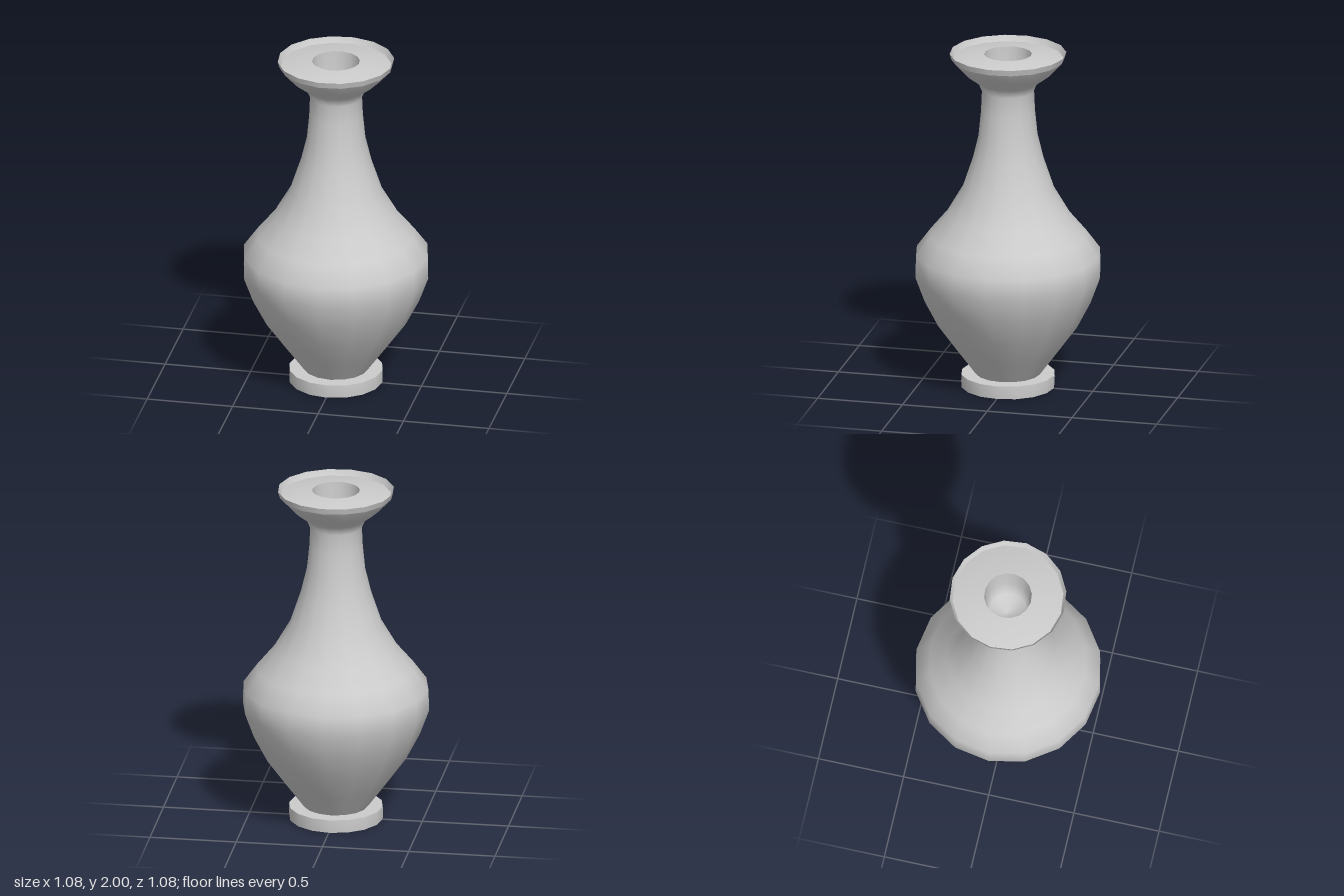
import * as THREE from 'three';

const SIDES = 16;

// Slight turn of the rings between the belly and the rim
function twist(geometry) {
  const p = geometry.attributes.position;
  const v = new THREE.Vector3();
  const up = new THREE.Vector3(0, 1, 0);
  for (let i = 0; i < p.count; i++) {
    v.fromBufferAttribute(p, i);
    const t = THREE.MathUtils.clamp((v.y - 0.8) / 1.2, 0, 1);
    v.applyAxisAngle(up, THREE.MathUtils.degToRad(1 - 6.7 * t));
    p.setXYZ(i, v.x, v.y, v.z);
  }
  return geometry;
}

export function createModel() {
  const group = new THREE.Group();
  const material = new THREE.MeshStandardMaterial({ color: 0xcccccc, side: THREE.DoubleSide });

  // Turned part from [radius, height] pairs; separate parts keep edges sharp
  const turn = (name, profile) => {
    const points = profile.map(([r, y]) => new THREE.Vector2(r, y));
    const mesh = new THREE.Mesh(twist(new THREE.LatheGeometry(points, SIDES)), material);
    mesh.name = name;
    group.add(mesh);
  };

  // Foot: underside, wall and upper ledge
  turn('footUnderside', [[0, 0], [0.27, 0]]);
  turn('footWall', [[0.27, 0], [0.272, 0.04], [0.27, 0.076]]);
  turn('footLedge', [[0.27, 0.076], [0.17, 0.076]]);

  // Belly, shoulder, neck and flared cup
  turn('body', [
    [0.182, 0.07], [0.29, 0.216], [0.405, 0.375], [0.485, 0.53],
    [0.538, 0.675], [0.535, 0.8], [0.455, 0.91], [0.355, 1.03],
    [0.265, 1.185], [0.205, 1.365], [0.17, 1.51], [0.155, 1.66],
    [0.15, 1.775], [0.172, 1.825], [0.25, 1.885], [0.31, 1.95], [0.335, 2],
  ]);

  // Lip and the gently raised top around the mouth
  turn('lipInside', [[0.335, 2], [0.325, 1.965]]);
  turn('mouthTop', [[0.325, 1.965], [0.23, 1.985], [0.137, 1.995]]);

  // Hollow inside the neck
  turn('neckHollow', [[0.137, 1.995], [0.13, 1.85], [0.11, 1.72], [0, 1.7]]);

  return group;
}
